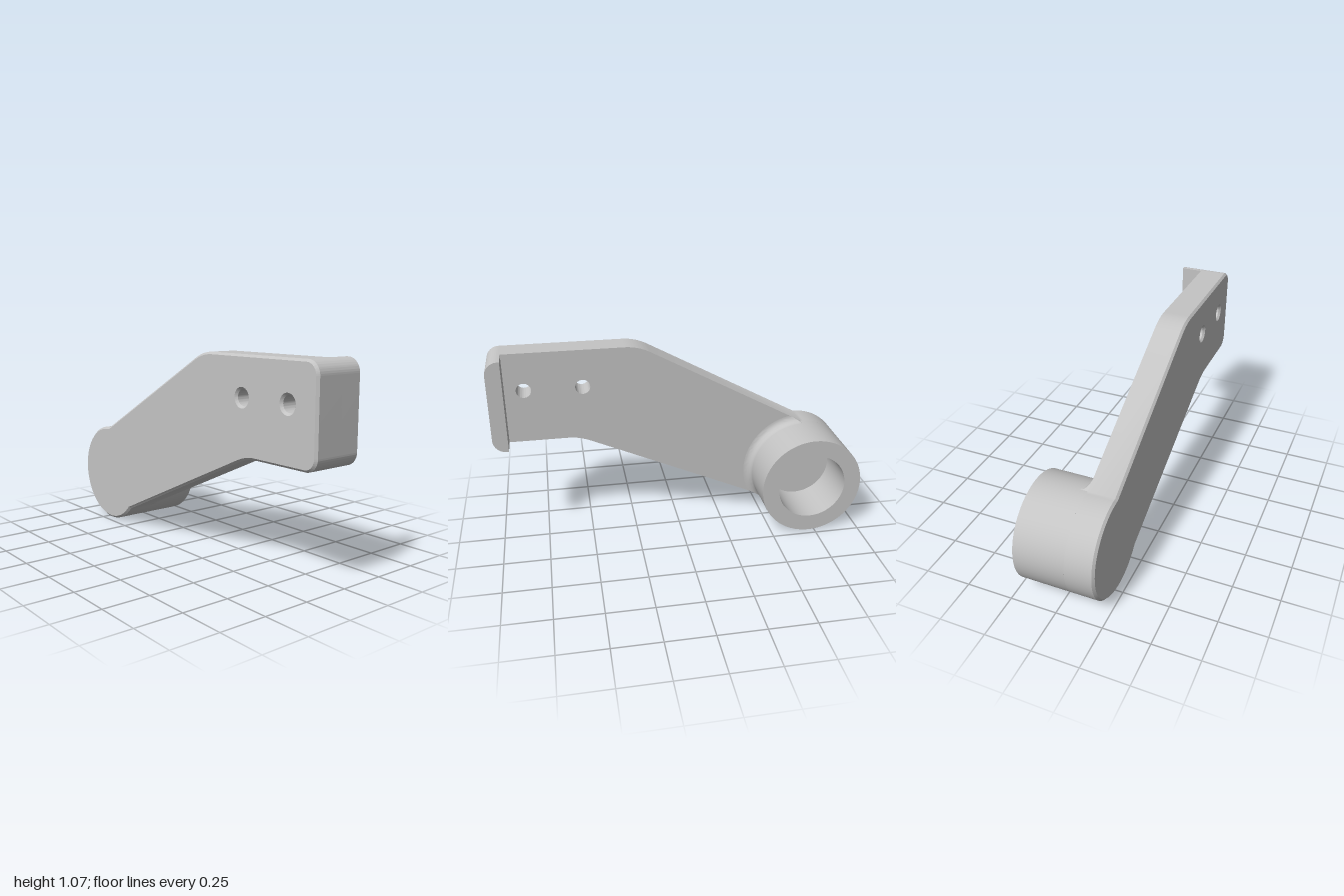
import * as THREE from 'three';
import { toCreasedNormals } from 'three/addons/utils/BufferGeometryUtils.js';

const BACK = -0.214, FACE = -0.06, LIP = 0.055, END = 0.214; // stations along x
const CHAMFER = 0.012;
const BOSS = { z: -0.717, y: 0.283, r: 0.283, bore: 0.19 };
const TOP = 1.07, LOW = 0.57, CORNER = 0.07;

// Shapes are drawn with horizontal = -z and extruded along +x.
function extrude(shape, x0, x1, bevel = 0) {
  const g = new THREE.ExtrudeGeometry(shape, {
    depth: x1 - x0 - 2 * bevel, curveSegments: 32, bevelEnabled: bevel > 0,
    bevelThickness: bevel, bevelSize: bevel, bevelOffset: -bevel, bevelSegments: 1,
  });
  g.translate(0, 0, x0 + bevel);
  g.rotateY(Math.PI / 2);
  return toCreasedNormals(g, 0.5);
}

function circle(X, y, r) {
  return new THREE.Path().absarc(X, y, r, 0, Math.PI * 2, true);
}

// Rounded front end shared by the arm and the lip
function frontEnd(s) {
  s.lineTo(-1 + CORNER, TOP);
  s.absarc(-1 + CORNER, TOP - CORNER, CORNER, Math.PI / 2, Math.PI, false);
  s.absarc(-1 + CORNER, LOW + CORNER, CORNER, Math.PI, Math.PI * 1.5, false);
}

function armShape() {
  const s = new THREE.Shape();
  s.moveTo(-1 + CORNER, LOW);
  s.lineTo(-0.6, LOW);
  s.quadraticCurveTo(-0.545, LOW, -0.48, 0.541);
  s.lineTo(0.502, 0.098);
  s.absarc(-BOSS.z, BOSS.y, BOSS.r, Math.PI + Math.atan2(0.185, 0.215), Math.PI / 2, false);
  s.lineTo(-0.14, 1.033);
  s.quadraticCurveTo(-0.207, TOP, -0.28, TOP);
  frontEnd(s);
  for (const z of [0.82, 0.51]) s.holes.push(circle(-z, 0.863, 0.04));
  return s;
}

function lipShape() {
  const s = new THREE.Shape();
  s.moveTo(-0.92, LOW);
  s.lineTo(-0.92, TOP);
  frontEnd(s);
  s.closePath();
  return s;
}

function bossShape() {
  const s = new THREE.Shape();
  s.absarc(-BOSS.z, BOSS.y, BOSS.r, 0, Math.PI * 2, false);
  s.holes.push(circle(-BOSS.z, BOSS.y, BOSS.bore));
  return s;
}

// Concave fillet between boss and arm, trimmed by the arm's two sloping edges
function filletGeometry(f = 0.042, rows = 8, cols = 40) {
  const a = Math.atan(0.546), b = Math.atan(0.45);
  const dTop = BOSS.r * Math.cos(a);
  const dLow = 0.215 * Math.sin(b) + 0.185 * Math.cos(b);
  const pos = [], idx = [], w = cols + 3;
  for (let i = 0; i <= rows; i++) {
    const t = (i / rows) * Math.PI / 2;
    const R = BOSS.r + f - f * Math.cos(t);
    const hi = Math.PI / 2 + a - Math.acos(dTop / R);
    const lo = b - Math.PI / 2 + Math.acos(dLow / R);
    for (let j = -1; j <= cols + 1; j++) {
      const p = lo + (hi - lo) * Math.min(Math.max(j / cols, 0), 1);
      const x = j < 0 || j > cols ? FACE : FACE + f - f * Math.sin(t);
      pos.push(x, BOSS.y + R * Math.sin(p), BOSS.z + R * Math.cos(p));
    }
  }
  for (let i = 0; i < rows; i++) {
    for (let j = 0; j < w - 1; j++) {
      const k = i * w + j;
      idx.push(k, k + 1, k + w, k + 1, k + w + 1, k + w);
    }
  }
  const g = new THREE.BufferGeometry();
  g.setAttribute('position', new THREE.Float32BufferAttribute(pos, 3));
  g.setIndex(idx);
  return toCreasedNormals(g, 0.6);
}

export function createModel() {
  const group = new THREE.Group();
  group.name = 'bracketArm';
  const grey = new THREE.MeshStandardMaterial({ color: 0xc4c4c4 });
  grey.name = 'light grey';
  const add = (name, geometry) => {
    const m = new THREE.Mesh(geometry, grey);
    m.name = name;
    group.add(m);
  };
  const arm = armShape();
  add('armPlate', extrude(arm, BACK + CHAMFER, FACE));
  // Bevelled skin whose inner half sits inside the plate
  add('armBackChamfer', extrude(arm, BACK, BACK + 2 * CHAMFER + 0.001, CHAMFER));
  add('endLip', extrude(lipShape(), FACE, LIP));
  add('boss', extrude(bossShape(), FACE, END));
  add('bossFillet', filletGeometry());
  return group;
}
